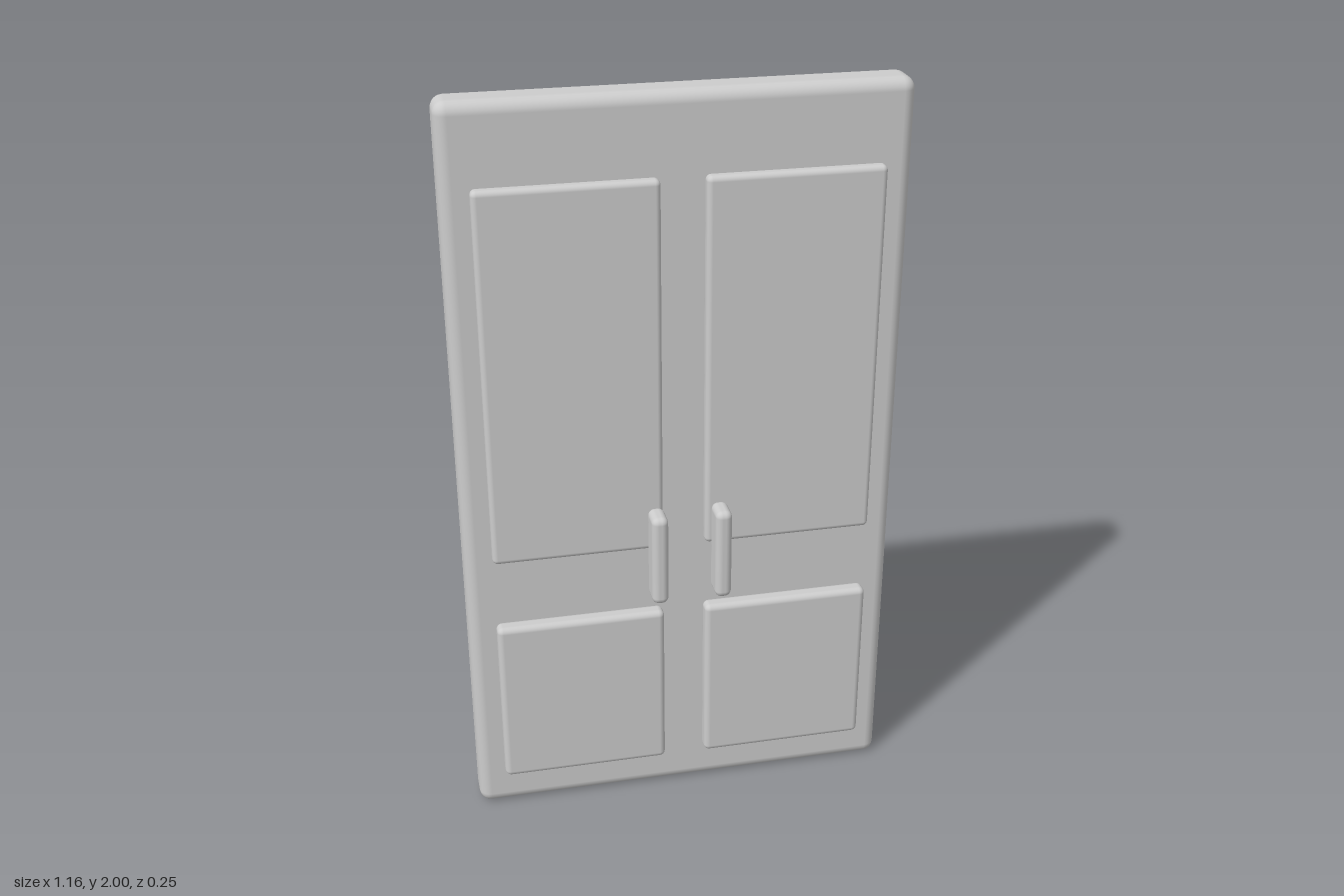
import * as THREE from 'three';
import { RoundedBoxGeometry } from 'three/addons/geometries/RoundedBoxGeometry.js';

export function createModel() {
  const group = new THREE.Group();
  group.name = 'doubleDoor';
  const lightGrey = new THREE.MeshStandardMaterial({ color: 0xcccccc });
  lightGrey.name = 'lightGrey';

  // Rounded block given by its limits on each axis
  function block(name, [x0, x1], [y0, y1], [z0, z1], radius) {
    const geometry = new RoundedBoxGeometry(x1 - x0, y1 - y0, z1 - z0, 3, radius);
    const mesh = new THREE.Mesh(geometry, lightGrey);
    mesh.name = name;
    mesh.position.set((x0 + x1) / 2, (y0 + y1) / 2, (z0 + z1) / 2);
    group.add(mesh);
  }

  // Main slab
  block('doorSlab', [-0.58, 0.58], [0, 2], [-0.125, -0.012], 0.032);

  // Raised panels and floating handles, mirrored on both leaves
  for (const [side, s] of [['left', 1], ['right', -1]]) {
    const span = (a, b) => (s > 0 ? [a, b] : [-b, -a]);
    block(side + 'UpperPanel', span(0.056, 0.508), [0.793, 1.797], [-0.018, 0.02], 0.014);
    block(side + 'LowerPanel', span(0.056, 0.508), [0.117, 0.6], [-0.018, 0.03], 0.016);
    block(side + 'Handle', span(0.062, 0.106), [0.683, 0.938], [0.048, 0.125], 0.018);
  }
  return group;
}
